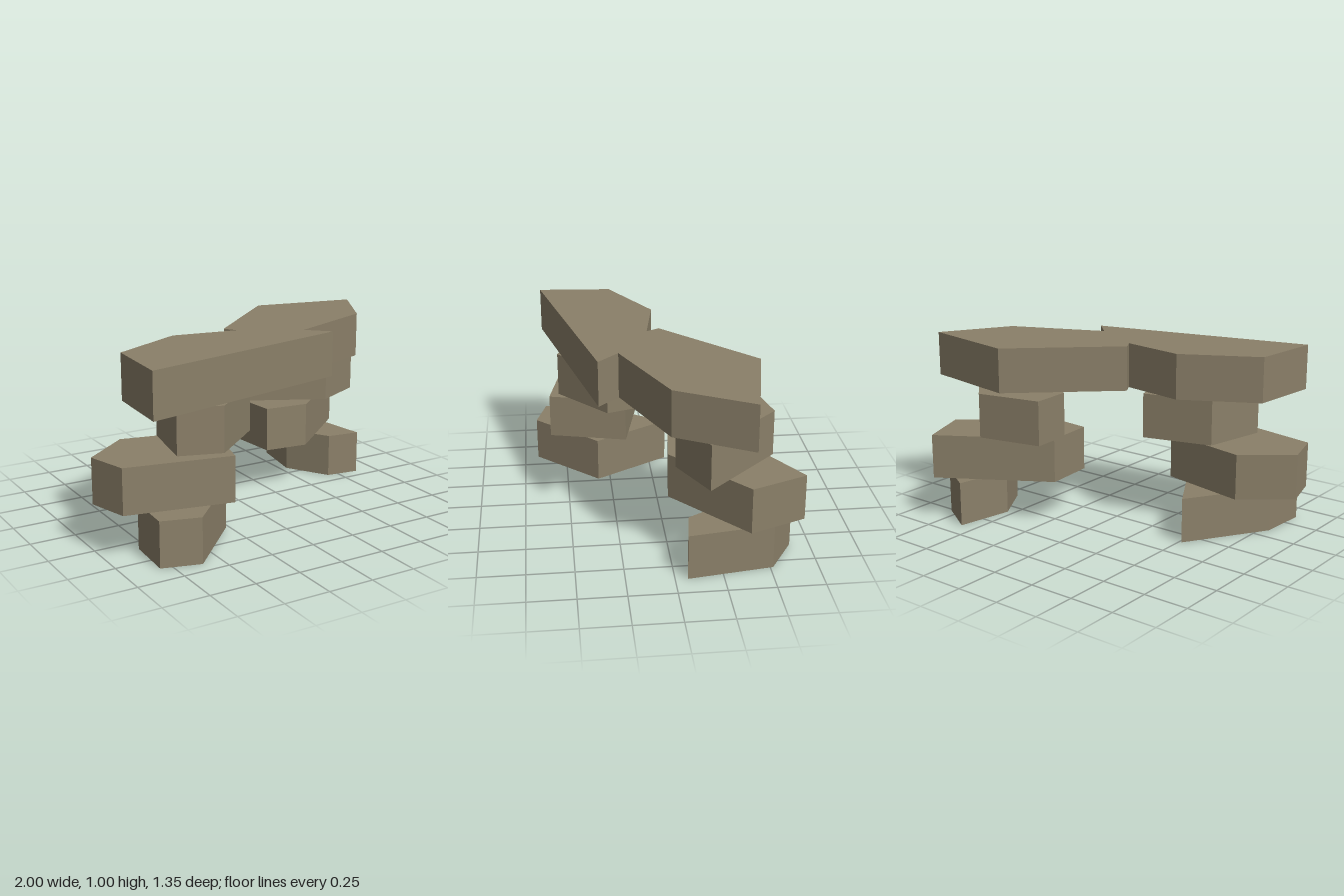
import * as THREE from 'three';

const HEIGHT = 0.247;
// underside height of each course of stones
const COURSE = [0, 0.253, 0.503, 0.754];

// name, course, footprint corners as [x, z]
const STONES = [
  ['leftPillarBase', 0, [[0.595, -0.645], [0.81, -0.515], [0.875, -0.065], [0.685, -0.09], [0.54, -0.33]]],
  ['leftPillarMiddle', 1, [[0.77, -0.675], [0.89, -0.38], [0.46, -0.01], [0.21, -0.035], [0.185, -0.32]]],
  ['leftPillarTop', 2, [[0.52, -0.55], [0.89, -0.17], [0.61, -0.03], [0.17, -0.25], [0.157, -0.475]]],
  ['rightPillarBase', 0, [[-0.515, -0.1], [-0.27, 0.32], [-0.605, 0.672], [-0.812, 0.613], [-0.795, 0.34]]],
  ['rightPillarMiddle', 1, [[-0.75, 0.05], [-0.26, 0.155], [-0.37, 0.59], [-0.938, 0.475], [-1, 0.25]]],
  ['rightPillarTop', 2, [[-0.18, 0], [-0.09, 0.27], [-0.4, 0.535], [-0.63, 0.46], [-0.56, 0.1]]],
  ['leftLintel', 3, [[0.427, -0.487], [1, -0.375], [0.787, 0.013], [0.103, 0.3], [-0.083, -0.018]]],
  ['rightLintel', 3, [[-0.4, -0.008], [0.12, 0.079], [0.385, 0.342], [-0.833, 0.617], [-0.803, 0.207]]],
];

// Upright prism over a footprint, base at y = 0
function prism(corners) {
  const shape = new THREE.Shape(corners.map(([x, z]) => new THREE.Vector2(x, -z)));
  const geometry = new THREE.ExtrudeGeometry(shape, { depth: HEIGHT, bevelEnabled: false });
  return geometry.rotateX(-Math.PI / 2);
}

export function createModel() {
  const model = new THREE.Group();
  model.name = 'stoneArch';
  const stone = new THREE.MeshStandardMaterial({ color: 0x8b8069 });
  stone.name = 'stone';

  // Two stacked pillars bridged by two overlapping lintels
  for (const [name, course, corners] of STONES) {
    const mesh = new THREE.Mesh(prism(corners), stone);
    mesh.name = name;
    mesh.position.y = COURSE[course];
    model.add(mesh);
  }
  return model;
}
